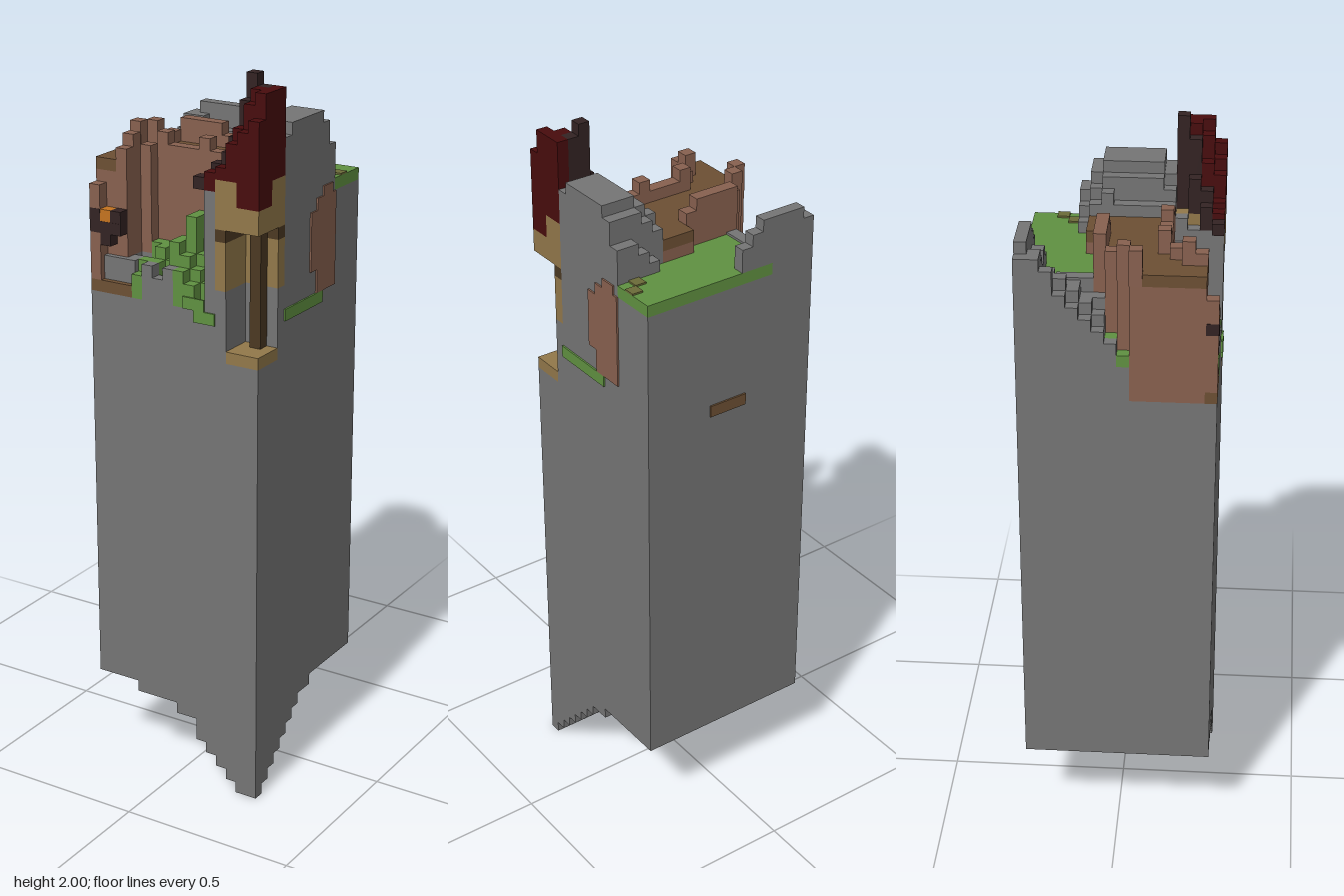
import * as THREE from 'three';
import { mergeGeometries } from 'three/addons/utils/BufferGeometryUtils.js';

const V = 2 / 62; // one block; the plot is 16 x 62 x 16 blocks

const material = (name, color) => new THREE.MeshStandardMaterial({ name, color });

// Block box [x0, x1, y0, y1, z0, z1]; x from the right side, z from the back
function block([x0, x1, y0, y1, z0, z1]) {
  const g = new THREE.BoxGeometry((x1 - x0) * V, (y1 - y0) * V, (z1 - z0) * V);
  return g.translate(((x0 + x1) / 2 - 8) * V, ((y0 + y1) / 2) * V, ((z0 + z1) / 2 - 8) * V);
}

// Columns of blocks: rows run from back to front, 0 leaves a gap
function columns(x0, z0, base, rows) {
  const out = [];
  rows.forEach((row, j) => row.forEach((top, i) => {
    if (top > base) out.push([x0 + i, x0 + i + 1, base, top, z0 + j, z0 + j + 1]);
  }));
  return out;
}

export function createModel() {
  const stone = material('stone grey', 0x757575);
  const grass = material('grass green', 0x609141);
  const brick = material('brick red brown', 0x88614f);
  const path = material('path brown', 0x6d5034);
  const tan = material('plaster tan', 0x92784a);
  const red = material('roof dark red', 0x480c0d);
  const dark = material('charred timber', 0x332323);
  const timber = material('timber brown', 0x4b3922);
  const flame = material('flame orange', 0xc57420);
  const moss = material('dry moss', 0x6c6b39);

  const group = new THREE.Group();
  const part = (name, mat, boxes) => {
    const mesh = new THREE.Mesh(mergeGeometries(boxes.map(block)), mat);
    mesh.name = name;
    group.add(mesh);
  };

  // Rock shaft, with the front left corner left open for the turret notch
  part('rockShaft', stone, [
    [0, 16, 8, 39, 0, 16],
    [0, 16, 39, 43, 0, 13],
    [0, 13, 39, 43, 13, 16],
  ]);

  // Stepped spur hanging below the front left corner
  const dropX = [0, 0, 1, 2, 3, 4, 6, 6, 7, 7, 7, 7];
  const dropZ = [0, 1, 2, 3, 4, 5, 6, 7, 7];
  const spur = [];
  dropX.forEach((a, i) => dropZ.forEach((b, j) => {
    if (a + b < 8) spur.push([15 - i, 16 - i, a + b, 8, 15 - j, 16 - j]);
  }));
  part('steppedSpur', stone, spur);

  // Back meadow
  part('meadowRock', stone, [[4, 12, 43, 51, 0, 6], [12, 16, 43, 51, 0, 4]]);
  part('meadowGrass', grass, [[4, 12, 51, 52, 0, 6], [12, 16, 51, 52, 0, 4]]);
  part('dryMoss', moss, [[15, 16, 52, 52.15, 2, 3], [14, 15, 52, 52.15, 3, 4]]);

  // Rocky crest on the back right corner
  part('backCrest', stone, [
    ...columns(0, 0, 43, [
      [55, 56, 56, 56],
      [55, 55, 54, 53],
      [54, 53, 53, 0],
      [52, 53, 52, 52.2],
      [51, 52, 52, 52.2],
      [50, 51, 51, 52.2],
      [49, 50, 51, 0],
      [48, 47, 0, 0],
      [46, 0, 0, 0],
    ]),
    ...columns(4, 0, 52, [[56, 55, 54], [54, 53, 0]]),
  ]);
  part('crestGrass', grass, [
    [1, 2, 47, 48, 7, 8], [0, 1, 46, 47, 8, 9], [3, 4, 43, 52, 2, 3],
  ]);

  // Tall rock outcrop on the left
  part('outcrop', stone, [
    ...columns(11, 4, 43, [
      [0, 53, 54, 55, 55],
      [55, 56, 57, 57, 57],
      [56, 57, 58, 58, 58],
      [55, 57, 58, 58, 58],
      [55, 57, 58, 58, 58],
      [55, 57, 58, 58, 58],
      [55, 57, 58, 58, 58],
      [55, 56, 57, 57, 57],
    ]),
    ...columns(10, 12, 43, [[52, 54], [51, 53], [0, 53], [0, 53]]),
  ]);

  // Curved wall carrying the walkway: [row, first column, end column]
  const wall = [
    [6, 3, 11], [7, 2, 11], [8, 1, 11], [9, 0, 11], [10, 0, 11],
    [11, 0, 11], [12, 0, 4], [13, 0, 3], [14, 0, 3],
  ];
  const bricks = [[8, 11, 52, 53, 5, 6], [0, 1, 44, 52, 15, 16]];
  const footing = [];
  const floor = [[8, 11, 53, 54, 5, 6]];
  wall.forEach(([r, a, b]) => {
    bricks.push([a, b, 46, 53, r, r + 1]);
    footing.push([Math.max(a, 1), b, 43, 46, r, r + 1]);
    if (a === 0) bricks.push([0, 1, 43, 46, r, r + 1]);
    floor.push([a, b, 53, 54, r, r + 1]);
  });
  part('wallBricks', brick, bricks);
  part('wallFooting', stone, footing);
  part('walkway', path, floor);

  // Battlements: [column, row, top]; slightly below floor level to wrap its edge
  const merlons = [
    [0, 9, 56], [1, 8, 56], [2, 7, 55], [3, 6, 56], [4, 6, 56], [5, 6, 56], [6, 6, 56], [7, 6, 55],
    [2, 14, 55], [2, 13, 56], [3, 12, 55], [4, 11, 56], [5, 11, 55], [6, 11, 55],
    [7, 11, 55], [8, 11, 56], [9, 11, 55], [10, 11, 55],
  ];
  const e = 0.02;
  part('battlements', brick, merlons.map(([x, z, top]) =>
    [x - e, x + 1 + e, 53, top, z - e, z + 1 + e]));

  // Front right ledge and torch
  part('ledge', path, [[1, 4, 43, 44, 15, 16], [0, 1, 43, 44, 15, 16]]);
  part('ledgeStones', stone, [[1, 4, 44, 46, 15, 15.5], [3, 4, 43, 46, 14, 15]]);
  part('torchHolder', dark, [
    [0.02, 3, 48, 49, 15, 16.02], [1, 2, 47, 48, 15, 16],
    [2, 3, 49, 50, 15, 16], [-0.02, 1, 49, 50, 15, 16.02],
  ]);
  part('torchFlame', flame, [[1, 2, 49, 50, 15, 16]]);

  // Overgrown hollow in front of the wall
  part('hollowGrass', grass, columns(3, 12, 43, [
    [0, 47, 47, 46, 46, 50, 48, 0],
    [45, 45, 47, 46, 48, 50, 47, 0],
    [44, 46, 46, 44, 48, 47, 46, 45],
    [0, 45, 0, 0, 0, 46, 45, 0],
  ]));
  part('hollowStones', stone, columns(5, 15, 43, [[46, 45, 46]]));
  part('faceVines', grass, [
    [9, 11, 43, 44, 16, 16.15], [10, 12, 42, 43, 16, 16.15], [16, 16.15, 42, 43, 6, 12],
  ]);

  // Painted patches on the outer faces
  part('sideBrickPatch', brick, [
    [16, 16.15, 43, 51, 4, 7], [16, 16.15, 45, 50, 7, 8], [16, 16.15, 51, 51.8, 4.5, 6],
  ]);
  part('backStripe', path, [[6.5, 10, 40, 41, -0.15, 0]]);

  // Turret walls wrap the open corner notch
  const turretBand = (y0, y1) => [[12, 13, y0, y1, 13, 16], [12, 16, y0, y1, 12, 13]];
  part('turretFooting', stone, turretBand(43, 45));
  part('turretPlaster', tan, [
    ...turretBand(45, 49), ...turretBand(50, 54),
    [13, 16, 50, 52, 13, 16], [13, 14, 52, 54, 13, 16], [14, 16, 52, 54, 13, 14],
  ]);
  part('turretBeam', timber, turretBand(49, 50));
  part('turretPost', timber, [[14, 15, 40, 50, 13, 14]]);
  part('turretFoot', tan, [[13, 16, 39, 40, 13, 16]]);

  // Turret roof climbing toward a charred peak
  part('roofTiles', red, [
    [14, 16, 52, 54, 14, 16],
    ...columns(11, 12, 54, [
      [0, 0, 0, 0, 61],
      [0, 0, 0, 61, 61],
      [0, 0, 58, 60, 61],
      [0, 55, 57, 58, 59],
    ]),
    [11, 12, 53, 54.5, 15, 16],
  ]);
  part('roofRidge', dark, [
    ...columns(10, 12, 54, [
      [0, 0, 0, 62, 61],
      [0, 0, 57, 60, 0],
      [0, 55, 56, 0, 0],
    ]),
    [10, 11, 53, 54, 15, 16], [11, 12, 53, 54, 14, 15],
  ]);

  return group;
}
